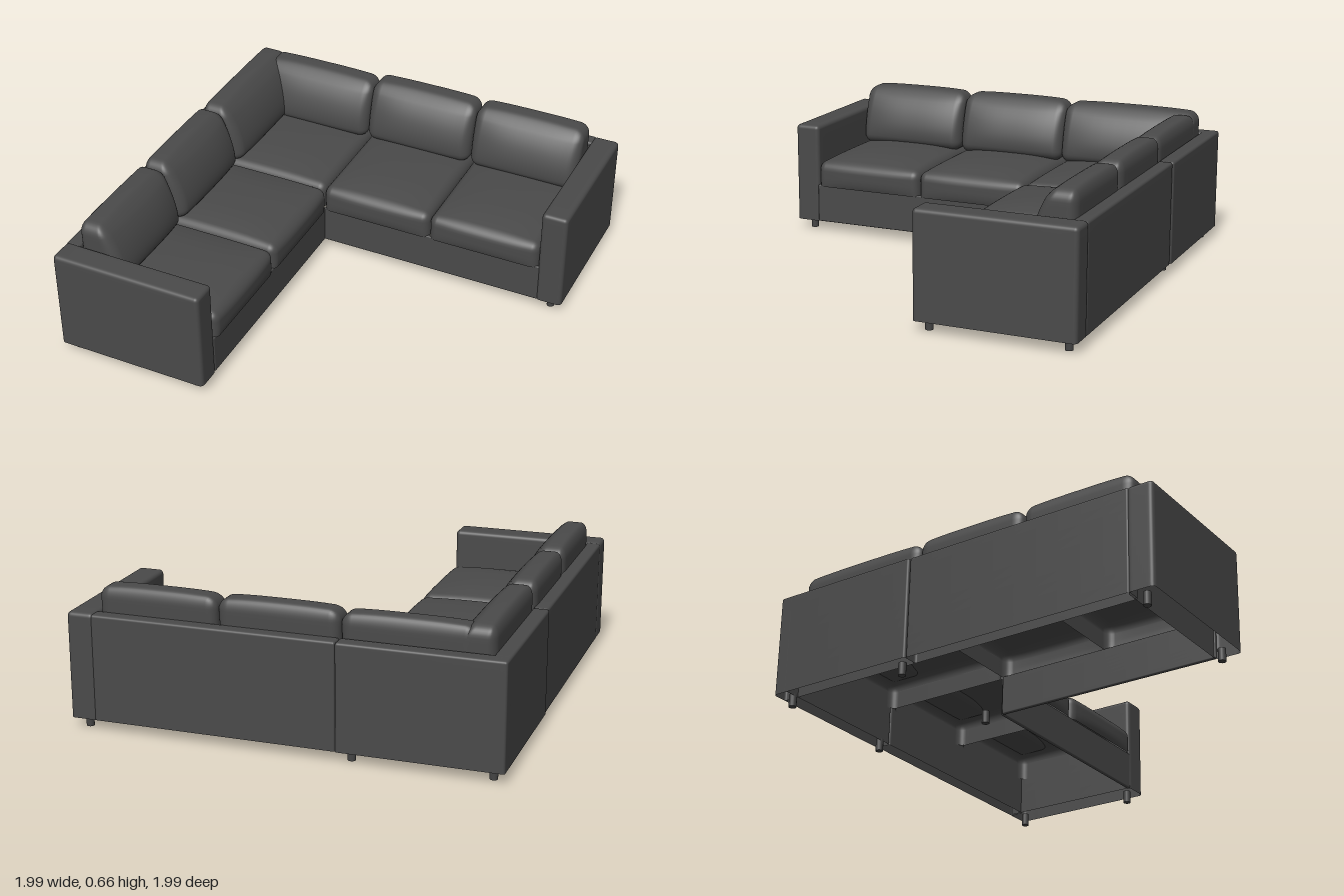
import * as THREE from 'three';
import { mergeVertices } from 'three/addons/utils/BufferGeometryUtils.js';

const SEG = 18, EDGE = 4;

// Rounded box with optional puffed top and front, open underside, and a front that leans back.
function softBox(w, h, d, r, { open = false, top = 0, front = 0, lean = 0 } = {}) {
  const geo = new THREE.BoxGeometry(2, 2, 2, SEG, SEG, SEG);
  const half = [w / 2, h / 2, d / 2];
  const pos = geo.attributes.position;
  // Grid lines gather in the rounded edges
  const spread = (t, s) => {
    const i = Math.round((t + 1) / 2 * SEG);
    if (i <= EDGE) return -s + r * i / EDGE;
    if (i >= SEG - EDGE) return s - r * (SEG - i) / EDGE;
    return (s - r) * (2 * (i - EDGE) / (SEG - 2 * EDGE) - 1);
  };
  const swell = (a, b) => (1 - Math.abs(a) ** 3) * (1 - Math.abs(b) ** 3);
  for (let i = 0; i < pos.count; i++) {
    const p = new THREE.Vector3(
      spread(pos.getX(i), half[0]), spread(pos.getY(i), half[1]), spread(pos.getZ(i), half[2]));
    const inner = new THREE.Vector3(
      THREE.MathUtils.clamp(p.x, r - half[0], half[0] - r),
      THREE.MathUtils.clamp(p.y, open ? -half[1] : r - half[1], half[1] - r),
      THREE.MathUtils.clamp(p.z, r - half[2], half[2] - r));
    p.sub(inner).setLength(r).add(inner);
    const [u, v, k] = [p.x / half[0], p.y / half[1], p.z / half[2]];
    p.y += top * swell(u, k) * Math.max(v, 0);
    p.z += front * swell(u, v) * Math.max(k, 0);
    const rise = (v + 1) / 2;
    p.z = (p.z + half[2]) * (1 - lean * rise * rise) - half[2];
    pos.setXYZ(i, p.x, p.y, p.z);
  }
  if (open) {
    const g = geo.groups[3], idx = Array.from(geo.index.array);
    idx.splice(g.start, g.count);
    geo.setIndex(idx);
  }
  geo.clearGroups();
  geo.deleteAttribute('normal');
  geo.deleteAttribute('uv');
  const out = mergeVertices(geo, 1e-5);
  out.computeVertexNormals();
  return out;
}

export function createModel() {
  const model = new THREE.Group();
  model.name = 'cornerSofa';
  const fabric = new THREE.MeshStandardMaterial({ color: 0x4a4a4a, side: THREE.DoubleSide });
  fabric.name = 'charcoal fabric';
  const legMat = new THREE.MeshStandardMaterial({ color: 0x444444 });
  legMat.name = 'dark leg';

  // Place a part by its bounds; the side wing swaps x and z
  function part(name, side, [x0, x1], [y0, y1], [z0, z1], r, opts) {
    const mesh = new THREE.Mesh(softBox(x1 - x0, y1 - y0, z1 - z0, r, opts), fabric);
    const x = (x0 + x1) / 2, y = (y0 + y1) / 2, z = (z0 + z1) / 2;
    mesh.position.set(side ? z : x, y, side ? x : z);
    if (side) mesh.rotation.y = Math.PI / 2;
    mesh.name = name;
    model.add(mesh);
  }

  // Seats are hollow underneath
  const seat = { open: true, top: 0.03, front: 0.01 };
  const pillow = { top: 0.01, front: 0.025, lean: 0.42 };

  for (const side of [false, true]) {
    const wing = side ? 'side' : 'back';
    // Frame: wall, arm and front rail
    part(wing + 'Wall', side, [-0.252, 0.88], [0.05, 0.54], [-0.99, -0.92], 0.012, { open: true });
    part(wing + 'CornerWall', side, [-0.995, -0.252], [0.05, 0.54], [-0.995, -0.92], 0.012, { open: true });
    part(wing + 'Arm', side, [0.868, 0.995], [0.05, 0.543], [-0.99, -0.247], 0.02, { open: true });
    part(wing + 'FrontRail', side, [-0.252, 0.875], [0.05, 0.24], [-0.265, -0.247], 0.006);

    // Two seat and two back cushions on each wing
    for (const x of [-0.25, 0.31]) {
      part(wing + 'Seat', side, [x, x + 0.558], [0.235, 0.362], [-0.92, -0.238], 0.04, seat);
      part(wing + 'Cushion', side, [x, x + 0.555], [0.36, 0.652], [-0.93, -0.724], 0.05, pillow);
    }
  }

  // Corner seat and its two back cushions
  part('cornerSeat', false, [-0.92, -0.25], [0.235, 0.362], [-0.92, -0.25], 0.04, { open: true, top: 0.03 });
  part('cornerSideCushion', true, [-0.92, -0.25], [0.36, 0.65], [-0.925, -0.717], 0.05, pillow);
  part('cornerBackCushion', false, [-0.84, -0.25], [0.36, 0.642], [-0.92, -0.717], 0.05, pillow);

  // Legs
  const legGeo = new THREE.CylinderGeometry(0.018, 0.018, 0.06, 16);
  const spots = [[-0.935, -0.935], [-0.31, -0.935], [0.93, -0.935], [0.93, -0.3],
    [-0.31, -0.31], [-0.935, -0.31], [-0.935, 0.93], [-0.31, 0.93]];
  for (const [x, z] of spots) {
    const leg = new THREE.Mesh(legGeo, legMat);
    leg.position.set(x, 0.03, z);
    leg.name = 'leg';
    model.add(leg);
  }
  return model;
}
